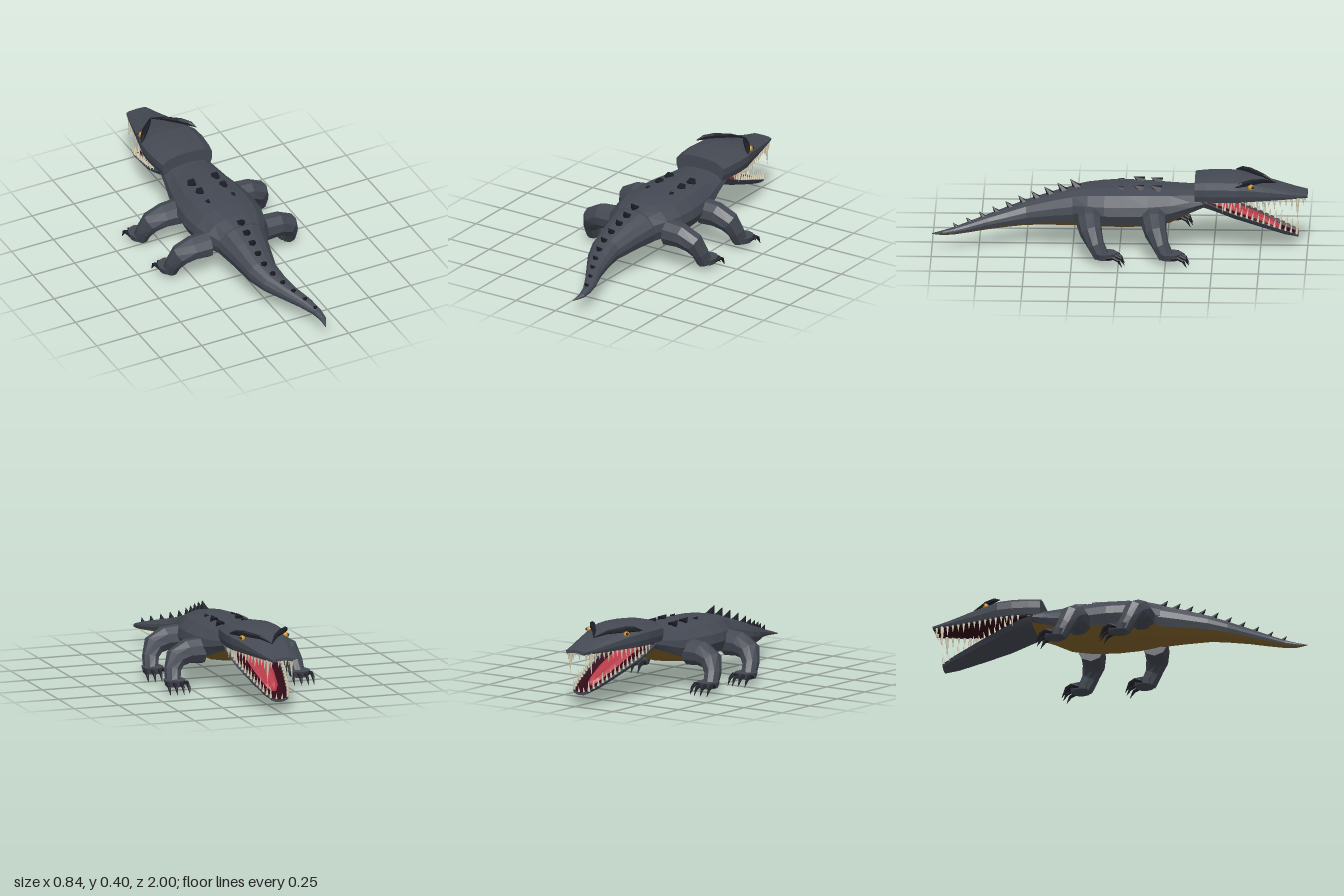
import * as THREE from 'three';

const V = (x, y, z) => new THREE.Vector3(x, y, z);
const material = (name, color, opts = {}) => {
  const m = new THREE.MeshStandardMaterial({ color, flatShading: true, ...opts });
  m.name = name;
  return m;
};
const HIDE = material('slate hide', 0x444953);
const BELLY = material('ochre belly', 0x84642a);
const HORN = material('black horn', 0x1d1e26);
const MOUTH = material('dark mouth', 0x300816);
const TONGUE = material('red tongue', 0xb83a48);
const IVORY = material('ivory teeth', 0xd6cfb4);
const AMBER = material('amber eye', 0xc8922a);

// Skins closed rings (counter-clockwise around the travel direction) and caps both ends.
// matIndex(i) picks the material of the strip after ring point i; caps use capMats.
function skin(rings, mats, matIndex = () => 0, capMats = [0, 0]) {
  const lists = mats.map(() => []);
  const n = rings[0].length;
  const tri = (m, ...pts) => pts.forEach((p) => lists[m].push(p.x, p.y, p.z));
  for (let k = 0; k < rings.length - 1; k++) {
    for (let i = 0; i < n; i++) {
      const j = (i + 1) % n, m = matIndex(i);
      const a = rings[k][i], b = rings[k][j], c = rings[k + 1][j], d = rings[k + 1][i];
      tri(m, a, b, c);
      tri(m, a, c, d);
    }
  }
  [rings[0], rings[rings.length - 1]].forEach((ring, end) => {
    const mid = ring.reduce((s, p) => s.add(p), V(0, 0, 0)).divideScalar(n);
    for (let i = 0; i < n; i++) {
      const p = ring[i], q = ring[(i + 1) % n];
      if (end) tri(capMats[1], mid, p, q);
      else tri(capMats[0], mid, q, p);
    }
  });
  const geo = new THREE.BufferGeometry();
  geo.setAttribute('position', new THREE.Float32BufferAttribute(lists.flat(), 3));
  let start = 0;
  lists.forEach((l, m) => {
    geo.addGroup(start, l.length / 3, m);
    start += l.length / 3;
  });
  geo.computeVertexNormals();
  return new THREE.Mesh(geo, mats);
}

// Lofts a mirrored half section, top to bottom, along stations [z, x, halfWidth, top, bottom].
function loft(stations, half, mats, isSecond, capMats) {
  const last = half.length - 1;
  const outline = [...half.map(([x, t]) => [-x, t]), ...half.slice(1, last).reverse()];
  const rings = stations.map(([z, cx, w, top, bot]) =>
    outline.map(([x, t]) => V(cx + x * w, bot + (top - bot) * t, z)));
  const strip = (i) => (i < last ? i : 2 * last - 1 - i);
  return skin(rings, mats, (i) => (isSecond(strip(i)) ? 1 : 0), capMats);
}

// Round limb with its own radius at each path point.
function limb(path, radii, sides, mat, ref) {
  const rings = path.map((p, k) => {
    const t = path[Math.min(k + 1, path.length - 1)].clone().sub(path[Math.max(k - 1, 0)]).normalize();
    const u = ref.clone().cross(t).normalize(), v = t.clone().cross(u);
    return Array.from({ length: sides }, (_, i) => {
      const a = ((i + 0.5) / sides) * Math.PI * 2;
      return p.clone().addScaledVector(u, Math.cos(a) * radii[k]).addScaledVector(v, Math.sin(a) * radii[k]);
    });
  });
  return skin(rings, [mat]);
}

// Linear reading of a station list at a given z.
function at(stations, z) {
  let k = 0;
  while (k < stations.length - 2 && stations[k + 1][0] < z) k++;
  const a = stations[k], b = stations[k + 1];
  const f = THREE.MathUtils.clamp((z - a[0]) / (b[0] - a[0]), 0, 1);
  return a.map((v, i) => v + (b[i] - v) * f);
}

const TORSO = [
  [-0.47, 0, 0.135, 0.325, 0.235], [-0.38, 0, 0.15, 0.325, 0.195], [-0.27, 0, 0.175, 0.333, 0.14],
  [-0.15, 0, 0.2, 0.34, 0.12], [-0.03, 0, 0.212, 0.342, 0.118], [0.08, 0, 0.205, 0.34, 0.118],
  [0.17, 0, 0.18, 0.332, 0.12], [0.25, 0, 0.138, 0.318, 0.125]];
const TAIL = [
  [0.22, 0, 0.145, 0.322, 0.115], [0.35, -0.005, 0.115, 0.285, 0.112], [0.5, -0.01, 0.085, 0.235, 0.106],
  [0.6, 0.012, 0.07, 0.202, 0.1], [0.7, 0.05, 0.05, 0.175, 0.096], [0.8, 0.095, 0.038, 0.148, 0.092],
  [0.88, 0.122, 0.025, 0.125, 0.086], [0.94, 0.128, 0.017, 0.108, 0.083], [1, 0.113, 0.002, 0.087, 0.083]];
const SKULL = [
  [-1, 0, 0.06, 0.306, 0.284], [-0.93, 0, 0.08, 0.32, 0.283], [-0.8, 0, 0.115, 0.354, 0.283],
  [-0.7, 0, 0.14, 0.38, 0.283], [-0.63, 0, 0.16, 0.393, 0.283], [-0.55, 0, 0.165, 0.396, 0.283],
  [-0.46, 0, 0.158, 0.394, 0.283], [-0.4, 0, 0.148, 0.389, 0.283]];
const JAW = [
  [-0.95, 0, 0.05, 0.078, 0.055], [-0.88, 0, 0.078, 0.106, 0.07], [-0.75, 0, 0.112, 0.158, 0.115],
  [-0.61, 0, 0.142, 0.212, 0.165], [-0.52, 0, 0.147, 0.25, 0.2], [-0.44, 0, 0.143, 0.283, 0.225]];
const BODY_SECTION = [[0, 1], [0.35, 0.98], [0.7, 0.88], [0.95, 0.66], [1, 0.45], [0.88, 0.21], [0.5, 0.05], [0, 0]];
const SKULL_SECTION = [[0, 1], [0.35, 0.99], [0.75, 0.9], [1, 0.65], [1, 0.3], [0.93, 0], [0.78, 0], [0.6, 0.25], [0, 0.3]];
const JAW_SECTION = [[0, 0.5], [0.6, 0.6], [0.8, 1], [1, 1], [0.85, 0.45], [0.45, 0.08], [0, 0]];

export function createModel() {
  const model = new THREE.Group();
  const add = (mesh, name, parent = model) => {
    mesh.name = name;
    parent.add(mesh);
    return mesh;
  };
  const cone = (r, h, sides, mat, pos, dir, name, parent) => {
    const mesh = add(new THREE.Mesh(new THREE.ConeGeometry(r, h, sides).translate(0, h / 2, 0), mat), name, parent);
    mesh.position.copy(pos);
    mesh.quaternion.setFromUnitVectors(V(0, 1, 0), dir.normalize());
  };

  // Torso, tail, skull and lower jaw
  add(loft(TORSO, BODY_SECTION, [HIDE, BELLY, MOUTH], (i) => i >= 5, [2, 0]), 'torso');
  add(loft(TAIL, BODY_SECTION, [HIDE, BELLY], (i) => i >= 5), 'tail');
  add(loft(SKULL, SKULL_SECTION, [HIDE, MOUTH], (i) => i >= 6), 'skull');
  add(loft(JAW, JAW_SECTION, [HIDE, MOUTH], (i) => i < 2), 'lowerJaw');

  // Tongue resting in the lower jaw
  const tongue = [[-0.86, 0.012, 0], [-0.82, 0.036, 0.012], [-0.7, 0.055, 0.018], [-0.56, 0.06, 0.016], [-0.47, 0.055, 0.005]]
    .map(([z, w, lift]) => {
      const y = at(JAW, z)[3] - 0.02 + lift;
      return [z, 0, w, y + 0.014, y - 0.014];
    });
  add(loft(tongue, [[0, 0.8], [0.6, 1], [1, 0.5], [0.6, 0], [0, 0]], [TONGUE], () => false), 'tongue');

  // Teeth along both jaws
  const teeth = add(new THREE.Group(), 'teeth');
  for (const s of [1, -1]) {
    for (let i = 0; i < 16; i++) {
      const z = -0.52 - i * 0.0305;
      const h = i === 14 ? 0.125 : i % 3 === 1 ? 0.065 : 0.045;
      cone(i === 14 ? 0.011 : 0.008, h, 6, IVORY, V(s * 0.86 * at(SKULL, z)[2], 0.287, z),
        V(s * 0.05, -1, 0), 'upperTooth', teeth);
    }
    for (let i = 0; i < 14; i++) {
      const z = -0.56 - i * 0.0292, j = at(JAW, z);
      cone(0.008, i % 3 === 1 ? 0.068 : 0.05, 6, IVORY, V(s * 0.88 * j[2], j[3] - 0.004, z),
        V(s * 0.05, 1, -0.15), 'lowerTooth', teeth);
    }
    cone(0.007, 0.04, 6, IVORY, V(s * 0.02, 0.288, -0.987), V(0, -1, 0), 'upperTooth', teeth);
    cone(0.007, 0.04, 6, IVORY, V(s * 0.016, 0.064, -0.94), V(0, 1, -0.15), 'lowerTooth', teeth);
  }

  for (const s of [1, -1]) {
    // Eyes and heavy brows
    const eye = add(new THREE.Mesh(new THREE.SphereGeometry(0.017, 10, 8), AMBER), 'eye');
    eye.position.set(s * 0.122, 0.36, -0.7);
    const pupil = add(new THREE.Mesh(new THREE.SphereGeometry(0.008, 8, 6), HORN), 'pupil');
    pupil.position.set(s * 0.133, 0.364, -0.709);
    add(limb([V(0, 0.35, -0.83), V(s * 0.045, 0.374, -0.765), V(s * 0.105, 0.382, -0.695), V(s * 0.14, 0.382, -0.65), V(s * 0.164, 0.372, -0.615)],
      [0.003, 0.011, 0.017, 0.014, 0.002], 6, HORN, V(0, 1, 0)), 'brow');

    // Paired back plates
    for (const [z, x, r, h] of [[-0.215, 0.07, 0.03, 0.06], [-0.12, 0.07, 0.028, 0.056], [-0.015, 0.075, 0.016, 0.034]])
      cone(r, h, 5, HORN, V(s * x, at(TORSO, z)[3] - 0.012, z), V(0, 0.5, 1), 'backSpike');

    // Legs with feet and claws, front pair and hind pair
    for (const [name, dz] of [['frontLeg', 0], ['hindLeg', 0.345]]) {
      const leg = add(new THREE.Group(), name);
      leg.position.z = dz;
      add(limb([V(s * 0.165, 0.195, -0.185), V(s * 0.25, 0.193, -0.187), V(s * 0.318, 0.163, -0.2), V(s * 0.345, 0.105, -0.225), V(s * 0.352, 0.045, -0.255)],
        [0.072, 0.067, 0.06, 0.046, 0.042], 9, HIDE, V(0, 0, 1)), 'limb', leg);
      const foot = add(new THREE.Mesh(new THREE.CylinderGeometry(0.06, 0.05, 0.034, 12), HIDE), 'foot', leg);
      foot.position.set(s * 0.352, 0.05, -0.275);
      foot.scale.z = 1.08;
      for (const dx of [-0.055, -0.019, 0.019, 0.055]) {
        const x = s * 0.352 + dx, inner = s * 0.352 + dx * 0.8;
        const back = Math.abs(dx) > 0.03 ? 0.012 : 0;
        add(limb([V(inner, 0.046, -0.295 + back), V(x, 0.054, -0.33 + back), V(x, 0.038, -0.358 + back), V(x, 0.001, -0.378 + back)],
          [0.011, 0.011, 0.009, 0.001], 6, HORN, V(1, 0, 0)), 'claw', leg);
      }
    }
  }

  // Row of spikes down the tail
  for (let i = 0; i < 10; i++) {
    const z = 0.225 + i * 0.071, [, x, , top] = at(TAIL, z);
    cone(0.027 - i * 0.0014, 0.066 - i * 0.003, 5, HORN, V(x, top - 0.01, z), V(0, 0.9, 0.75), 'tailSpike');
  }
  return model;
}
